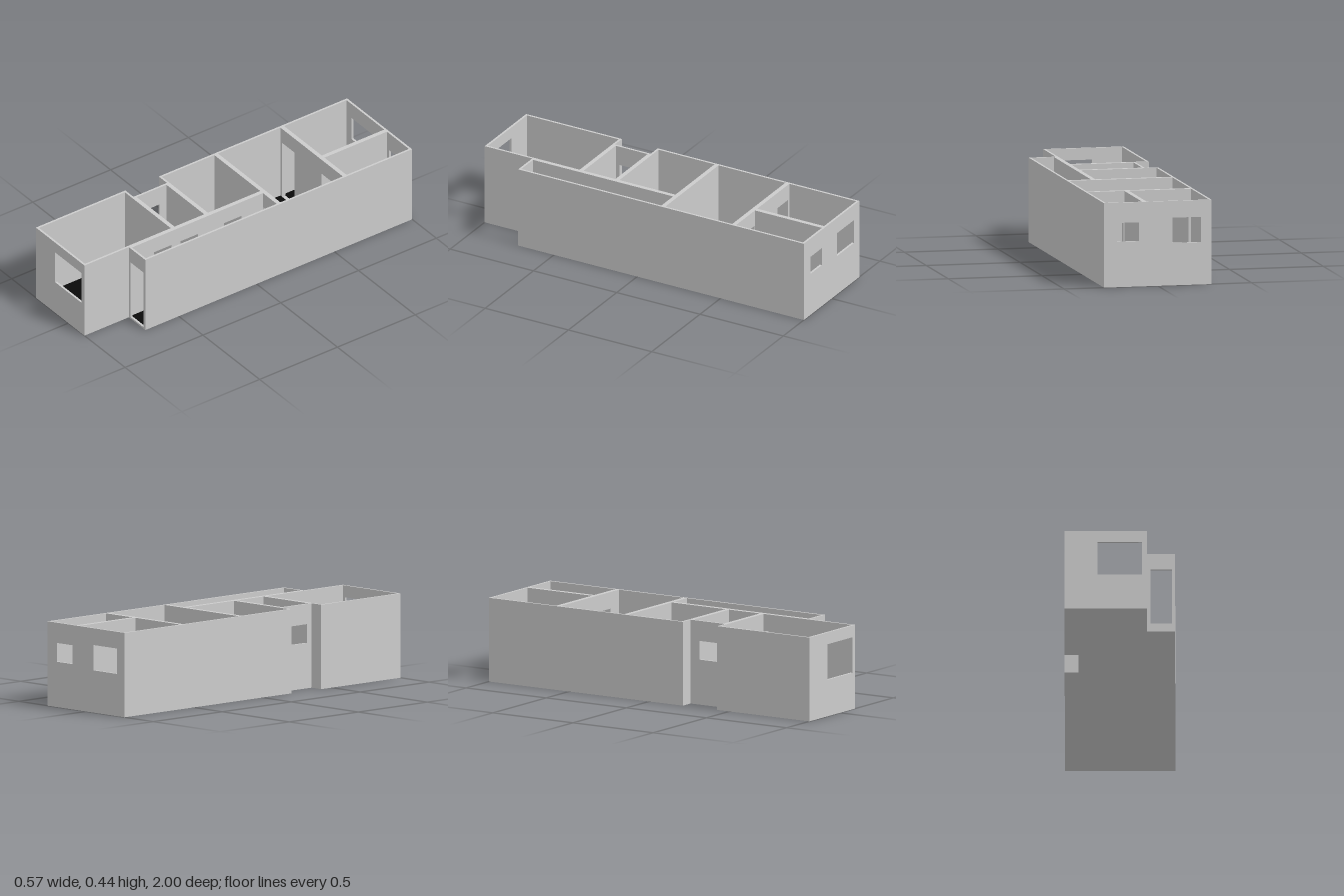
import * as THREE from 'three';

const HEIGHT = 0.443, BASE = 0.01, DOOR_TOP = 0.355;

// Opening helpers: positions run along the wall's long axis
const door = (a, b) => ({ a, b, top: DOOR_TOP, door: true });
const win = (a, b, bottom, top) => ({ a, b, bottom, top });

// Wall filling the plan rectangle x0..x1, z0..z1, with doors notched and windows cut
function wall(name, material, x0, x1, z0, z1, openings = []) {
  const alongX = x1 - x0 > z1 - z0;
  const [a, b] = alongX ? [x0, x1] : [z0, z1];
  const depth = alongX ? z1 - z0 : x1 - x0;

  const shape = new THREE.Shape();
  shape.moveTo(a, BASE);
  for (const o of openings.filter(o => o.door)) {
    shape.lineTo(o.a, BASE);
    shape.lineTo(o.a, o.top);
    shape.lineTo(o.b, o.top);
    shape.lineTo(o.b, BASE);
  }
  shape.lineTo(b, BASE);
  shape.lineTo(b, HEIGHT);
  shape.lineTo(a, HEIGHT);
  shape.closePath();
  for (const o of openings.filter(o => !o.door)) {
    shape.holes.push(new THREE.Path([
      new THREE.Vector2(o.a, o.bottom), new THREE.Vector2(o.a, o.top),
      new THREE.Vector2(o.b, o.top), new THREE.Vector2(o.b, o.bottom),
    ]));
  }

  const geometry = new THREE.ExtrudeGeometry(shape, { depth, bevelEnabled: false });
  if (alongX) geometry.translate(0, 0, z0);
  else geometry.rotateY(-Math.PI / 2).translate(x1, 0, 0);
  const mesh = new THREE.Mesh(geometry, material);
  mesh.name = name;
  return mesh;
}

export function createModel() {
  const model = new THREE.Group();
  model.name = 'house';
  const grey = new THREE.MeshStandardMaterial({ color: 0xcccccc });
  const dark = new THREE.MeshStandardMaterial({ color: 0x0a0a0a });

  // Base slab following the house outline (plan drawn as x, -z)
  const outline = [
    [-0.287, -1], [0.287, -1], [0.287, 0.715], [0.142, 0.715], [0.142, 1], [-0.287, 1],
    [-0.287, 0.425], [-0.215, 0.425], [-0.215, 0.21], [-0.287, 0.21],
  ].map(([x, z]) => new THREE.Vector2(x, -z));
  const slabGeometry = new THREE.ExtrudeGeometry(new THREE.Shape(outline), { depth: BASE, bevelEnabled: false });
  const slab = new THREE.Mesh(slabGeometry.rotateX(-Math.PI / 2), grey);
  slab.name = 'baseSlab';
  model.add(slab);

  // Walls: name, x0, x1, z0, z1, openings
  const walls = [
    // Outer walls
    ['backWall', -0.287, 0.287, -1, -0.988, [win(-0.232, -0.055, 0.222, 0.355), win(0.1, 0.217, 0.238, 0.337)]],
    ['leftWall', 0.275, 0.287, -0.988, 0.715],
    ['entranceWall', 0.154, 0.275, 0.703, 0.715, [door(0.158, 0.27)]],
    ['frontRoomLeftWall', 0.13, 0.142, 0.715, 1],
    ['frontWall', -0.275, 0.13, 0.988, 1, [win(-0.116, 0.115, 0.193, 0.381)]],
    ['frontRoomRightWall', -0.287, -0.275, 0.425, 1],
    ['recessFrontWall', -0.275, -0.215, 0.425, 0.437],
    ['recessWall', -0.215, -0.203, 0.222, 0.413, [win(0.265, 0.392, 0.238, 0.337)]],
    ['recessBackWall', -0.275, -0.215, 0.198, 0.21],
    ['rightWall', -0.287, -0.275, -0.988, 0.21],
    // Partitions
    ['hallPartition', 0.13, 0.154, -0.138, 0.715, [door(0, 0.112), door(0.28, 0.392), door(0.45, 0.562)]],
    ['frontRoomPartition', -0.215, 0.13, 0.413, 0.437],
    ['smallRoomPartition', -0.215, 0.13, 0.198, 0.222],
    ['middlePartition', -0.275, 0.275, -0.162, -0.138, [door(0.158, 0.27)]],
    ['rearPartition', -0.275, 0.275, -0.587, -0.563, [door(-0.262, -0.15), door(0.087, 0.199)]],
    ['rearDivider', 0.057, 0.081, -0.988, -0.587],
  ];
  for (const [name, x0, x1, z0, z1, openings] of walls) {
    model.add(wall(name, grey, x0, x1, z0, z1, openings));
  }

  // Dark floor panel in each room
  const rooms = [
    ['rearRightFloor', -0.275, 0.057, -0.988, -0.587],
    ['rearLeftFloor', 0.081, 0.275, -0.988, -0.587],
    ['livingFloor', -0.275, 0.275, -0.563, -0.162],
    ['middleRoomFloor', -0.275, 0.13, -0.138, 0.198],
    ['smallRoomFloor', -0.203, 0.13, 0.222, 0.413],
    ['frontRoomFloor', -0.275, 0.13, 0.437, 0.988],
    ['hallFloor', 0.154, 0.275, -0.138, 0.703],
  ];
  for (const [name, x0, x1, z0, z1] of rooms) {
    const floor = new THREE.Mesh(new THREE.BoxGeometry(x1 - x0, 0.004, z1 - z0), dark);
    floor.position.set((x0 + x1) / 2, BASE + 0.002, (z0 + z1) / 2);
    floor.name = name;
    model.add(floor);
  }
  return model;
}
